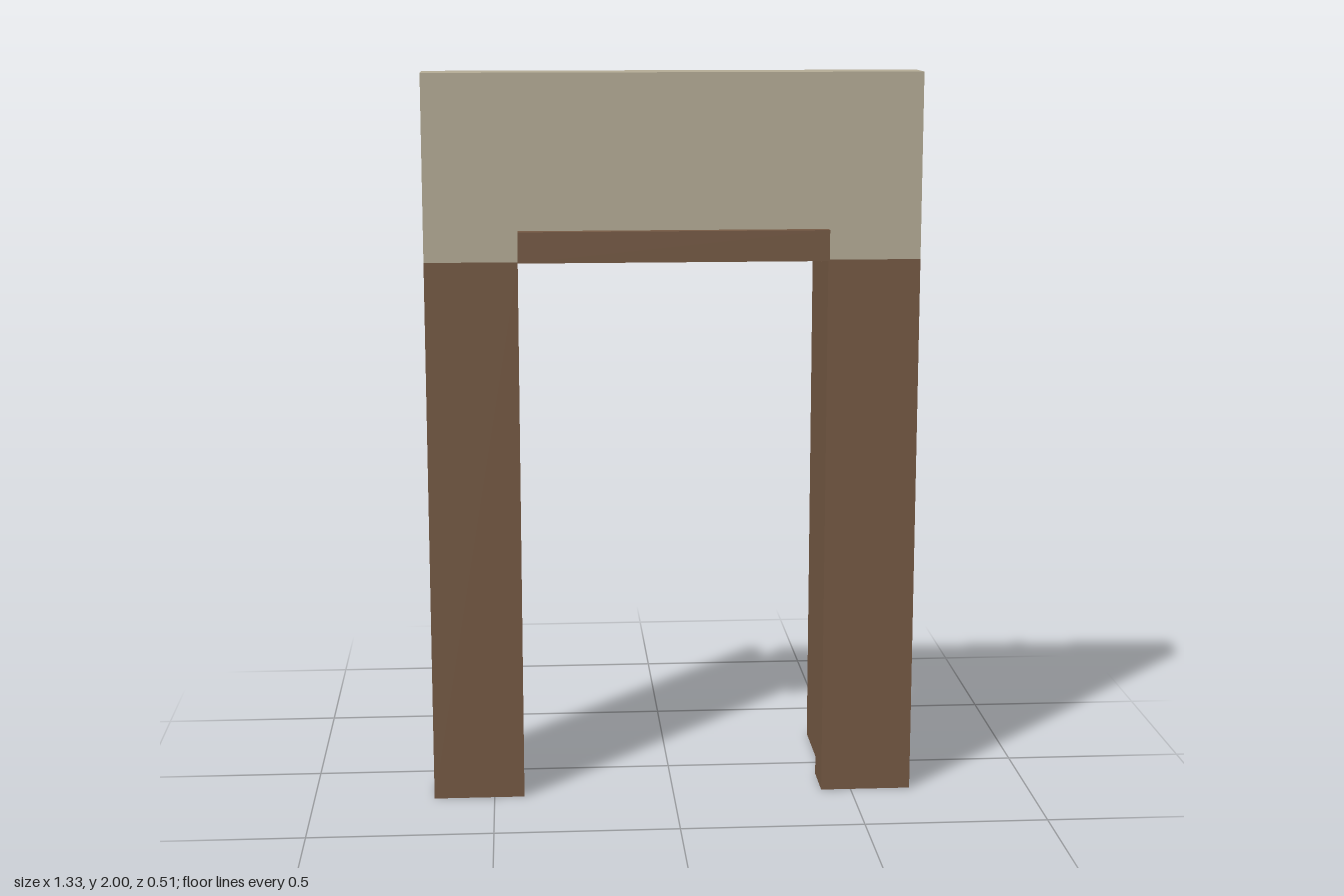
import * as THREE from 'three';

export function createModel() {
  const group = new THREE.Group();
  const wood = new THREE.MeshStandardMaterial({ color: 0x775b45 });
  wood.name = 'brown wood';
  const plaster = new THREE.MeshStandardMaterial({ color: 0xb7ae98 });
  plaster.name = 'beige plaster';

  // Box given by its minimum and maximum corners
  function block(name, material, [x0, y0, z0], [x1, y1, z1]) {
    const mesh = new THREE.Mesh(new THREE.BoxGeometry(x1 - x0, y1 - y0, z1 - z0), material);
    mesh.position.set((x0 + x1) / 2, (y0 + y1) / 2, (z0 + z1) / 2);
    mesh.name = name;
    group.add(mesh);
  }

  const back = 0.095, front = 0.226;

  // Lintel across the top and the trim strip on its lower front edge
  block('lintel', plaster, [-0.667, 1.5, back], [0.667, 2, front]);
  block('trimStrip', wood, [-0.417, 1.5, front], [0.417, 1.583, 0.255]);

  // Posts either side of the opening
  block('leftPost', wood, [0.417, 0, back], [0.667, 1.5, front]);
  block('rightPost', wood, [-0.667, 0, back], [-0.417, 1.5, front]);

  // Door leaves swung open behind the posts
  block('leftDoor', wood, [0.437, 0, -0.255], [0.477, 1.46, back]);
  block('rightDoor', wood, [-0.477, 0, -0.255], [-0.437, 1.46, back]);

  return group;
}
